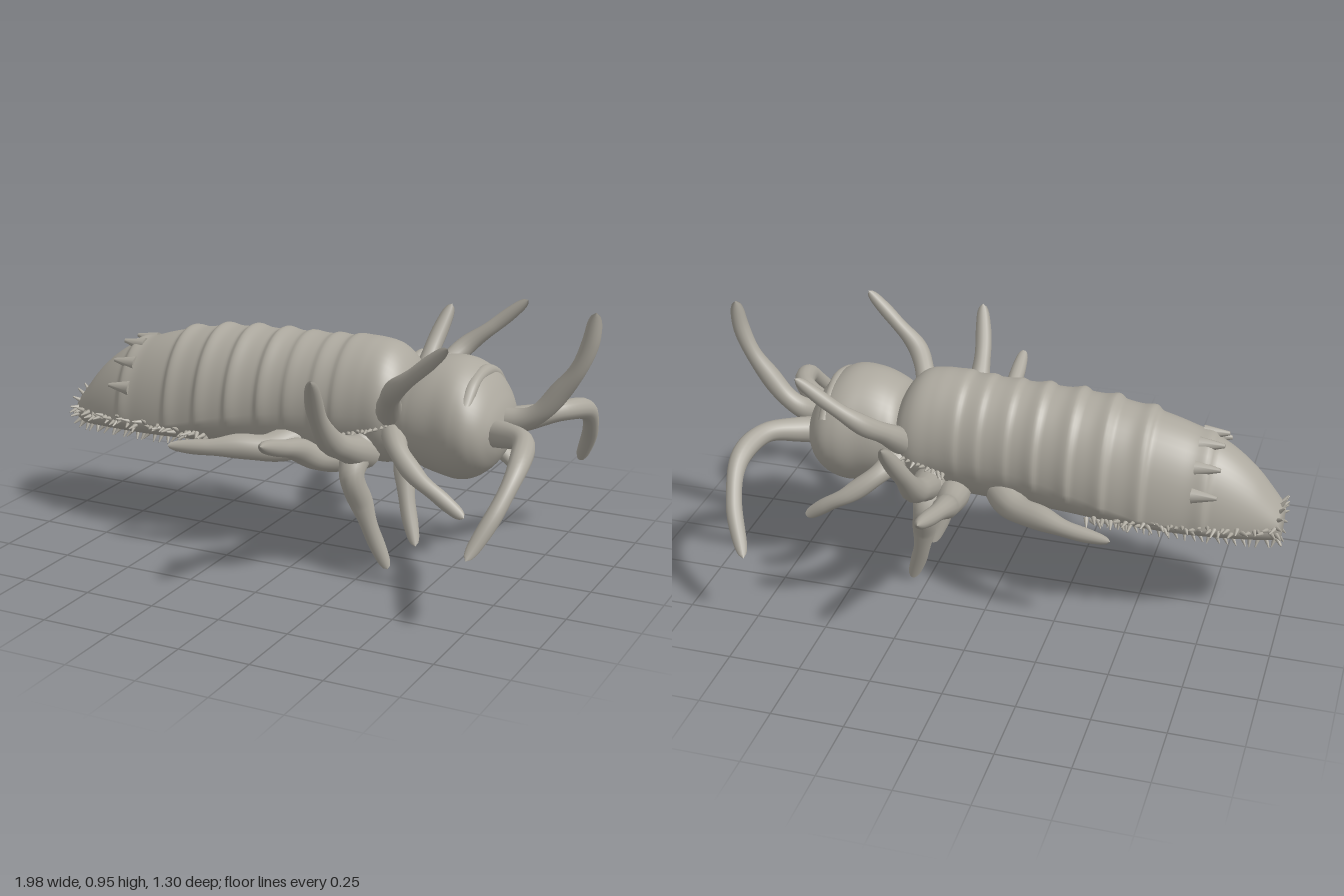
import * as THREE from 'three';

const clay = new THREE.MeshStandardMaterial({ color: 0xaca89e });
clay.name = 'clay grey';

let seed = 7;
const rnd = () => (seed = (seed * 16807) % 2147483647) / 2147483647;

function add(group, geometry, name) {
  const mesh = new THREE.Mesh(geometry, clay);
  mesh.name = name;
  group.add(mesh);
  return mesh;
}

// Smooth sampler over rows of [x, top, mid, bottom, halfWidth]
function sampler(keys) {
  const curve = new THREE.CubicInterpolant(keys.map(k => k[0]), keys.flatMap(k => k.slice(1)), 4, new Float32Array(4));
  return x => Array.from(curve.evaluate(x));
}

// Skin of rings along x, with an optional swelling for the shell segments
function loft(keys, steps, swell = () => 0) {
  const at = sampler(keys), x0 = keys[0][0], x1 = keys[keys.length - 1][0];
  const sides = 48, pos = [], idx = [];
  for (let i = -1; i <= steps + 1; i++) {
    const x = THREE.MathUtils.lerp(x0, x1, THREE.MathUtils.clamp(i / steps, 0, 1));
    const [top, mid, bottom, half] = at(x);
    const open = i < 0 || i > steps ? 0 : 1;
    for (let j = 0; j < sides; j++) {
      const a = j / sides * Math.PI * 2, c = Math.cos(a), s = Math.sin(a);
      const k = open * (1 + swell(x) * THREE.MathUtils.smoothstep(c, -0.5, 0.2));
      pos.push(x, mid + c * k * (c > 0 ? top - mid : mid - bottom), s * k * half);
    }
  }
  for (let i = 0; i < steps + 2; i++) {
    for (let j = 0; j < sides; j++) {
      const a = i * sides + j, b = i * sides + (j + 1) % sides;
      idx.push(a, b, a + sides, b, b + sides, a + sides);
    }
  }
  const g = new THREE.BufferGeometry();
  g.setAttribute('position', new THREE.Float32BufferAttribute(pos, 3));
  g.setIndex(idx);
  g.computeVertexNormals();
  return g;
}

// Tapered, slightly knobbly limb with a rounded tip
function limb(points, r0, r1, side = 1) {
  const curve = new THREE.CatmullRomCurve3(points.map(p => new THREE.Vector3(p[0], p[1], p[2] * side)));
  const n = 48, sides = 14, g = new THREE.TubeGeometry(curve, n, 1, sides, false);
  const p = g.attributes.position, v = new THREE.Vector3();
  for (let i = 0; i <= n; i++) {
    const t = i / n, c = curve.getPointAt(t);
    let r = THREE.MathUtils.lerp(r0, r1, t) * (1 + 0.07 * Math.sin(t * 17));
    if (t > 0.92) r *= Math.sqrt(Math.max(0, 1 - ((t - 0.92) / 0.08) ** 2));
    for (let j = 0; j <= sides; j++) {
      const k = i * (sides + 1) + j;
      v.fromBufferAttribute(p, k).sub(c).multiplyScalar(r).add(c);
      p.setXYZ(k, v.x, v.y, v.z);
    }
  }
  return g;
}

// Cone from a base point along a direction
function spike(group, name, base, dir, length, radius) {
  const d = new THREE.Vector3(...dir).normalize();
  const mesh = add(group, new THREE.CylinderGeometry(radius * 0.25, radius, length, 8), name);
  mesh.quaternion.setFromUnitVectors(new THREE.Vector3(0, 1, 0), d);
  mesh.position.set(...base).addScaledVector(d, length / 2);
}

export function createModel() {
  const model = new THREE.Group();
  model.name = 'larva';

  // Segmented body
  const bodyKeys = [
    [-0.98, 0.44, 0.39, 0.33, 0.07],
    [-0.95, 0.48, 0.395, 0.325, 0.09],
    [-0.88, 0.565, 0.4, 0.33, 0.125],
    [-0.78, 0.645, 0.41, 0.335, 0.16],
    [-0.65, 0.7, 0.42, 0.34, 0.188],
    [-0.5, 0.74, 0.44, 0.345, 0.205],
    [-0.35, 0.763, 0.48, 0.345, 0.212],
    [-0.1, 0.775, 0.53, 0.345, 0.195],
    [0.1, 0.782, 0.55, 0.35, 0.19],
    [0.22, 0.79, 0.56, 0.36, 0.188],
    [0.3, 0.765, 0.56, 0.37, 0.183],
    [0.35, 0.7, 0.56, 0.42, 0.15],
    [0.38, 0.62, 0.56, 0.48, 0.09]
  ];
  const ridges = [-0.73, -0.52, -0.39, -0.27, -0.15, -0.05, 0.05, 0.13];
  const swell = x => ridges.reduce((s, r, i) => {
    const d = x - r, w = d < 0 ? 0.012 : 0.035;
    return s + (i > 4 ? 0.03 : 0.05) * Math.exp(-d * d / (w * w));
  }, 0);
  add(model, loft(bodyKeys, 170, swell), 'body');

  // Head
  add(model, loft([
    [0.335, 0.66, 0.55, 0.45, 0.15],
    [0.355, 0.7, 0.55, 0.41, 0.172],
    [0.4, 0.735, 0.55, 0.375, 0.187],
    [0.48, 0.76, 0.55, 0.35, 0.198],
    [0.56, 0.752, 0.55, 0.345, 0.21],
    [0.62, 0.71, 0.545, 0.375, 0.197],
    [0.66, 0.655, 0.54, 0.42, 0.155],
    [0.685, 0.6, 0.54, 0.475, 0.09],
    [0.695, 0.555, 0.54, 0.525, 0.02]
  ], 60), 'head');

  // Brow ridge arching over the face
  const brow = [-1, -0.5, 0, 0.5, 1].map(t => [0.597, 0.55 + 0.165 * Math.cos(t * 1.1), 0.19 * Math.sin(t * 1.1)]);
  add(model, limb(brow, 0.022, 0.022), 'browRidge');

  // Central horn
  add(model, limb([[0.64, 0.56, 0], [0.74, 0.57, 0], [0.8, 0.605, 0], [0.87, 0.69, 0], [0.925, 0.77, 0],
    [0.96, 0.86, 0], [0.975, 0.96, 0]], 0.042, 0.024), 'horn');

  // Paired limbs: name, path on the +z side, root and tip radius
  const limbs = [
    ['feeler', [[0.63, 0.53, 0.06], [0.72, 0.545, 0.11], [0.81, 0.56, 0.19], [0.85, 0.53, 0.33],
      [0.83, 0.42, 0.45], [0.765, 0.27, 0.55]], 0.045, 0.022],
    ['upperNeckLeg', [[0.32, 0.57, 0.14], [0.355, 0.64, 0.22], [0.41, 0.71, 0.3], [0.5, 0.785, 0.335],
      [0.615, 0.885, 0.362]], 0.045, 0.018],
    ['lowerNeckLeg', [[0.33, 0.52, 0.13], [0.39, 0.475, 0.22], [0.48, 0.41, 0.268], [0.56, 0.36, 0.275],
      [0.645, 0.295, 0.265]], 0.043, 0.02],
    ['raisedLeg', [[0.23, 0.42, 0.13], [0.215, 0.475, 0.27], [0.21, 0.53, 0.37], [0.215, 0.64, 0.47],
      [0.245, 0.785, 0.575]], 0.055, 0.022],
    ['standingLeg', [[0.22, 0.47, 0.14], [0.22, 0.37, 0.22], [0.24, 0.25, 0.18], [0.265, 0.14, 0.15],
      [0.31, 0.005, 0.118]], 0.055, 0.02],
    ['sideLeg', [[0.14, 0.4, 0.13], [0.12, 0.43, 0.28], [0.1, 0.485, 0.38], [0.1, 0.525, 0.5],
      [0.105, 0.575, 0.65]], 0.055, 0.019],
    ['rearLeg', [[-0.03, 0.43, 0.13], [-0.1, 0.41, 0.2], [-0.2, 0.415, 0.25], [-0.3, 0.405, 0.28],
      [-0.45, 0.395, 0.3]], 0.062, 0.015]
  ];
  for (const [name, path, r0, r1] of limbs) {
    for (const side of [1, -1]) {
      add(model, limb(path, r0, r1, side), (side > 0 ? 'right' : 'left') + name[0].toUpperCase() + name.slice(1));
    }
  }

  // Back spikes on the last shell edge
  const at = sampler(bodyKeys);
  const backSpikes = new THREE.Group();
  backSpikes.name = 'backSpikes';
  model.add(backSpikes);
  for (const a of [-1.1, -0.7, -0.25, 0.25, 0.7, 1.1]) {
    const [top, mid, , half] = at(-0.7);
    const c = Math.cos(a), s = Math.sin(a);
    spike(backSpikes, 'backSpike', [-0.69, mid + c * (top - mid) * 0.96, s * half * 0.97],
      [-1, 0.1 * c, 0.1 * s], 0.085, 0.028);
  }

  // Small spines along the lower rim, the belly edge, the thorax and the tail
  const spines = new THREE.Group();
  spines.name = 'spines';
  model.add(spines);
  for (const side of [1, -1]) {
    for (let i = 0; i < 46; i++) {
      const x = -0.97 + i * 0.0138 + rnd() * 0.008;
      const [, mid, bottom, half] = at(x);
      const y = Math.min(mid, 0.415);
      spike(spines, 'rimSpine', [x, y - 0.01 + rnd() * 0.02, side * half * 0.96],
        [rnd() * 1.2 - 0.8, rnd() * 1.2 - 0.6, side], 0.028 + rnd() * 0.016, 0.009);
      if (i % 2 === 0) {
        spike(spines, 'bellySpine', [x, mid - (mid - bottom) * 0.75, side * half * 0.62],
          [rnd() - 0.7, -0.8, side * 0.6], 0.03, 0.008);
      }
    }
    for (let i = 0; i < 10; i++) {
      const x = 0.17 + i * 0.017;
      spike(spines, 'thoraxSpine', [x, 0.49 + i * 0.005, side * at(x)[3] * 0.94],
        [rnd() - 0.5, rnd() - 0.5, side], 0.03, 0.009);
    }
  }
  for (let i = 0; i < 14; i++) {
    const a = i / 14 * Math.PI * 2;
    spike(spines, 'tailSpine', [-0.965, 0.39 + 0.05 * Math.cos(a), 0.07 * Math.sin(a)],
      [-0.7, Math.cos(a), Math.sin(a)], 0.04, 0.01);
  }
  return model;
}
